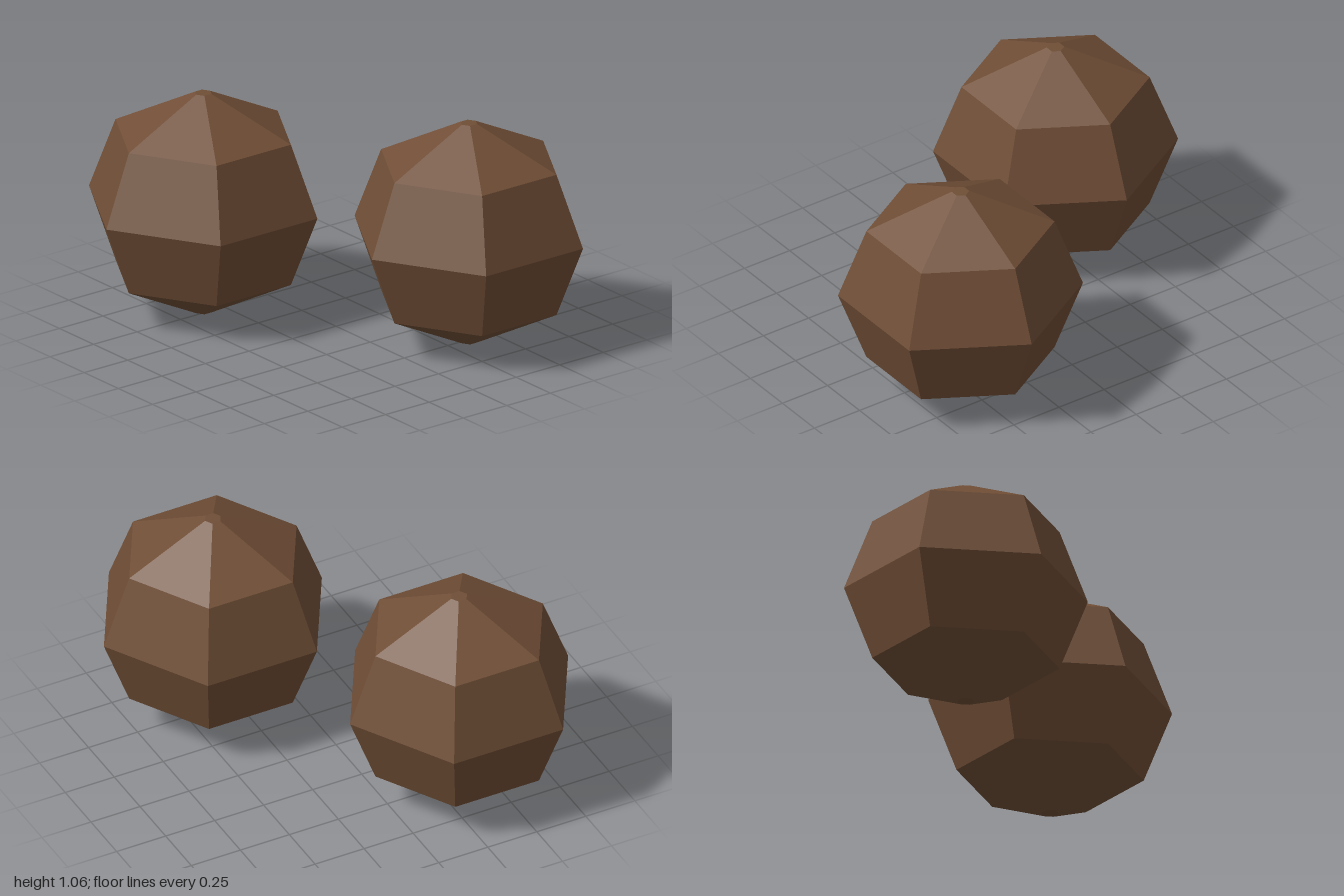
import * as THREE from 'three';

// Faceted six-sided pod, turned from a short profile (radius, height)
function podGeometry() {
  const profile = [
    [0, 0], [0.04, 0], [0.427, 0.19], [0.556, 0.53], [0.427, 0.87], [0.04, 1.06], [0, 1.06],
  ].map(([r, y]) => new THREE.Vector2(r, y));
  // Start at +x so that corners point left and right
  const geometry = new THREE.LatheGeometry(profile, 6, Math.PI / 2).toNonIndexed();
  geometry.computeVertexNormals(); // one normal per face
  return geometry;
}

export function createModel() {
  const model = new THREE.Group();
  model.name = 'podPair';

  const brown = new THREE.MeshStandardMaterial({ color: 0x704e36 });
  brown.name = 'brown';

  // Two identical pods, set diagonally
  const geometry = podGeometry();
  for (const [name, side] of [['frontLeftPod', 1], ['backRightPod', -1]]) {
    const pod = new THREE.Mesh(geometry, brown);
    pod.name = name;
    pod.position.set(side * 0.357, 0, side * 0.517);
    model.add(pod);
  }
  return model;
}
